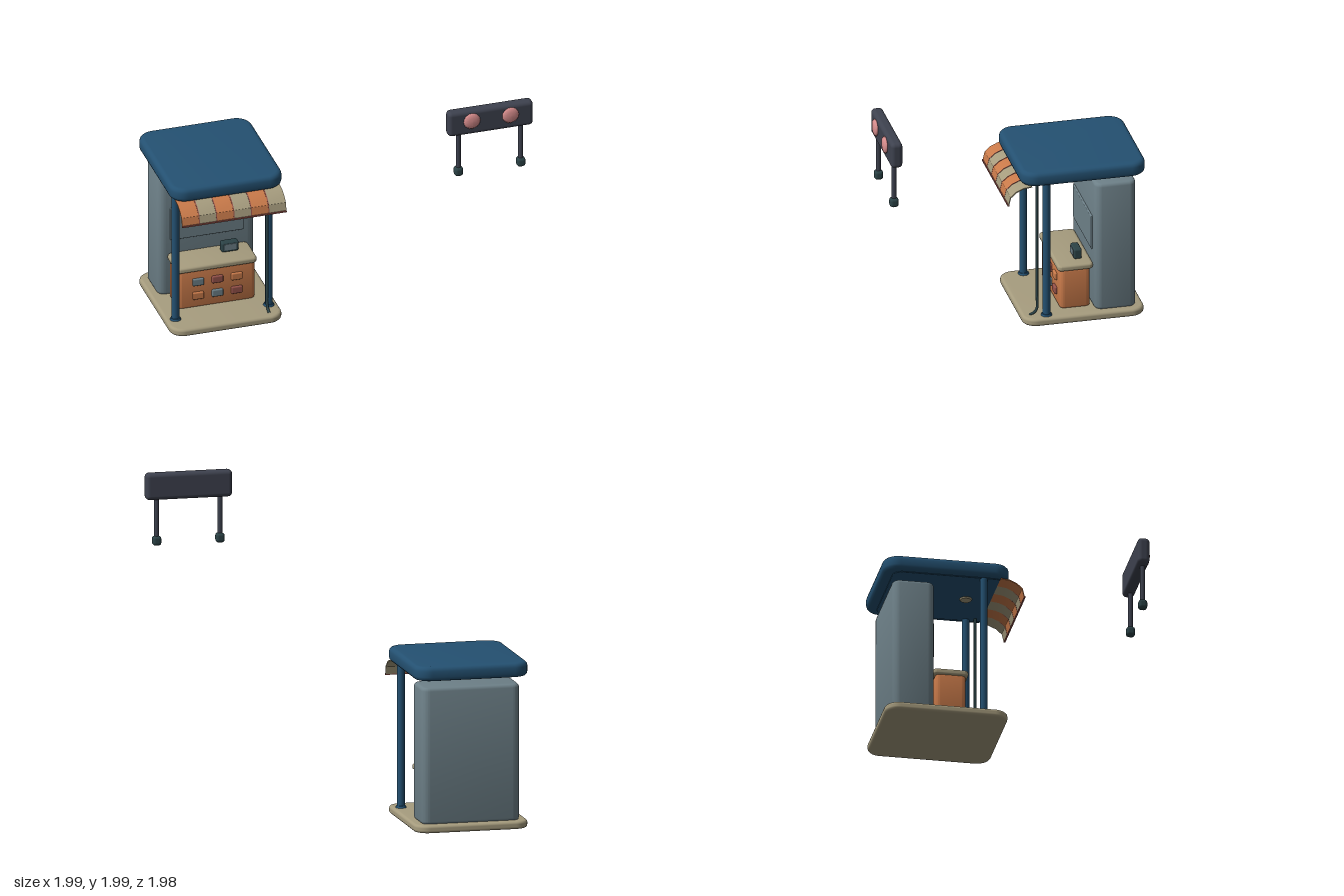
import * as THREE from 'three';
import { toCreasedNormals } from 'three/addons/utils/BufferGeometryUtils.js';
import { RoundedBoxGeometry } from 'three/addons/geometries/RoundedBoxGeometry.js';

const paint = (name, color) => {
  const m = new THREE.MeshStandardMaterial({ color });
  m.name = name;
  return m;
};

// Upright block with rounded plan corners and bevelled top and bottom
function slab(w, h, d, radius, bevel) {
  const s = new THREE.Shape();
  const x = w / 2, y = d / 2, r = radius;
  s.moveTo(-x + r, -y);
  s.lineTo(x - r, -y);
  s.absarc(x - r, -y + r, r, -Math.PI / 2, 0);
  s.lineTo(x, y - r);
  s.absarc(x - r, y - r, r, 0, Math.PI / 2);
  s.lineTo(-x + r, y);
  s.absarc(-x + r, y - r, r, Math.PI / 2, Math.PI);
  s.lineTo(-x, -y + r);
  s.absarc(-x + r, -y + r, r, Math.PI, Math.PI * 1.5);
  const g = new THREE.ExtrudeGeometry(s, {
    depth: h - 2 * bevel, bevelThickness: bevel, bevelSize: bevel,
    bevelOffset: -bevel, bevelSegments: 3, curveSegments: 6,
  });
  g.translate(0, 0, bevel - h / 2);
  g.rotateX(-Math.PI / 2);
  return toCreasedNormals(g, 0.65);
}

// Awning cross-section as [z, y], swept along x
const AWNING = [[-0.25, 0.972], [-0.195, 0.965], [-0.15, 0.945], [-0.113, 0.912], [-0.1, 0.858]];
function awningStrip(width, thick, lift = 0) {
  const top = AWNING.map(([z, y]) => new THREE.Vector2(-z, y + lift));
  const low = AWNING.map(([z, y]) => new THREE.Vector2(-z + thick * 0.6, y + lift - thick)).reverse();
  const g = new THREE.ExtrudeGeometry(new THREE.Shape([...top, ...low]), { depth: width, bevelEnabled: false });
  g.rotateY(Math.PI / 2);
  return toCreasedNormals(g, 0.6);
}

export function createModel() {
  const blue = paint('roof blue', 0x245172);
  const tan = paint('warm tan', 0xa69c7e);
  const orange = paint('orange', 0xc97a4a);
  const grey = paint('slate grey', 0x6e8189);
  const charcoal = paint('charcoal', 0x3e424f);
  const pink = paint('lamp pink', 0xd98e8e);
  const teal = paint('dark teal', 0x2c4347);
  const rust = paint('rust red', 0x96524a);

  const model = new THREE.Group();
  model.name = 'kiosk';
  const add = (name, geometry, material, x, y, z, parent = model) => {
    const m = new THREE.Mesh(geometry, material);
    m.name = name;
    m.position.set(x, y, z);
    parent.add(m);
    return m;
  };
  const cx = -0.635;

  // Floor, roof and ceiling
  add('floor', slab(0.73, 0.05, 0.78, 0.09, 0.018), tan, cx, 0.032, -0.59);
  add('roof', slab(0.73, 0.092, 0.8, 0.1, 0.028), blue, cx, 1.018, -0.59);
  add('ceiling', slab(0.64, 0.012, 0.7, 0.06, 0.004), blue, cx, 0.973, -0.575);
  add('ceilingLamp', new THREE.CylinderGeometry(0.04, 0.035, 0.012, 20), tan, cx, 0.963, -0.41);

  // Back cabinet with its raised panel
  add('cabinet', slab(0.63, 0.87, 0.265, 0.05, 0.022), grey, cx, 0.485, -0.798);
  add('cabinetPanel', new RoundedBoxGeometry(0.48, 0.226, 0.02, 2, 0.006), grey, cx, 0.557, -0.665);

  // Front posts with flanges
  for (const x of [-0.937, -0.328]) {
    add('post', new THREE.CylinderGeometry(0.024, 0.024, 0.93, 16), blue, x, 0.515, -0.353);
    add('postFoot', new THREE.CylinderGeometry(0.03, 0.036, 0.014, 16), blue, x, 0.062, -0.353);
  }

  // Cable pipe that kicks forward at the floor
  const pipe = new THREE.CatmullRomCurve3([
    [0.975, -0.298], [0.6, -0.298], [0.2, -0.298], [0.09, -0.297], [0.067, -0.278], [0.055, -0.25],
  ].map(([y, z]) => new THREE.Vector3(-0.356, y, z)));
  add('cablePipe', new THREE.TubeGeometry(pipe, 40, 0.009, 8), teal, 0, 0, 0);

  // Counter
  add('counterBody', slab(0.505, 0.265, 0.195, 0.03, 0.014), orange, cx, 0.19, -0.552);
  add('counterTop', slab(0.525, 0.038, 0.228, 0.03, 0.014), tan, cx, 0.336, -0.553);
  const goods = [[grey, rust, orange], [orange, grey, rust]];
  goods.forEach((row, r) => row.forEach((mat, c) => {
    add('goodsBox', new RoundedBoxGeometry(0.073, 0.05, 0.024, 2, 0.008), mat,
      -0.758 + c * 0.126, 0.24 - r * 0.097, -0.452);
  }));

  // Payment terminal
  add('terminal', new RoundedBoxGeometry(0.112, 0.068, 0.052, 2, 0.012), teal, -0.513, 0.387, -0.587);
  add('terminalScreen', new THREE.BoxGeometry(0.08, 0.042, 0.004), grey, -0.513, 0.39, -0.56);

  // Striped awning
  const awning = new THREE.Group();
  awning.name = 'awning';
  model.add(awning);
  const left = -0.972, step = 0.1135;
  for (let i = 0; i < 6; i++) {
    add('awningStripe', awningStrip(step, 0.006), i % 2 ? tan : orange, left + i * step, 0, 0, awning);
    if (i) add('awningSeam', awningStrip(0.006, 0.008, 0.003), rust, left + i * step - 0.003, 0, 0, awning);
  }
  add('awningHem', new THREE.BoxGeometry(step * 6, 0.01, 0.01), rust, left + step * 3, 0.857, -0.1, awning);

  // Raised lamp board
  const board = new THREE.Group();
  board.name = 'lampBoard';
  board.position.set(0.713, 1.915, 0.925);
  model.add(board);
  add('board', new RoundedBoxGeometry(0.555, 0.17, 0.075, 3, 0.026), charcoal, 0, 0, 0, board);
  for (const x of [-0.127, 0.125]) {
    // Fluted lens: push every other rim point outward
    const lens = new THREE.LatheGeometry(
      [[0.05, 0], [0.054, 0.008], [0.046, 0.018], [0.025, 0.023], [0, 0.024]].map(([r, y]) => new THREE.Vector2(r, y)), 40);
    const p = lens.attributes.position;
    for (let i = 0; i < p.count; i++) {
      const a = Math.atan2(p.getZ(i), p.getX(i));
      const k = 1 + 0.025 * Math.cos(20 * a);
      p.setX(i, p.getX(i) * k);
      p.setZ(i, p.getZ(i) * k);
    }
    lens.rotateX(Math.PI / 2);
    lens.computeVertexNormals();
    add('lampLens', lens, pink, x, 0.016, 0.036, board);
  }
  for (const x of [-0.204, 0.203]) {
    add('boardLeg', new THREE.CylinderGeometry(0.016, 0.016, 0.27, 12), charcoal, x, -0.21, 0.004, board);
    add('legFoot', new RoundedBoxGeometry(0.056, 0.062, 0.056, 2, 0.02), teal, x, -0.347, 0.004, board);
  }
  return model;
}
